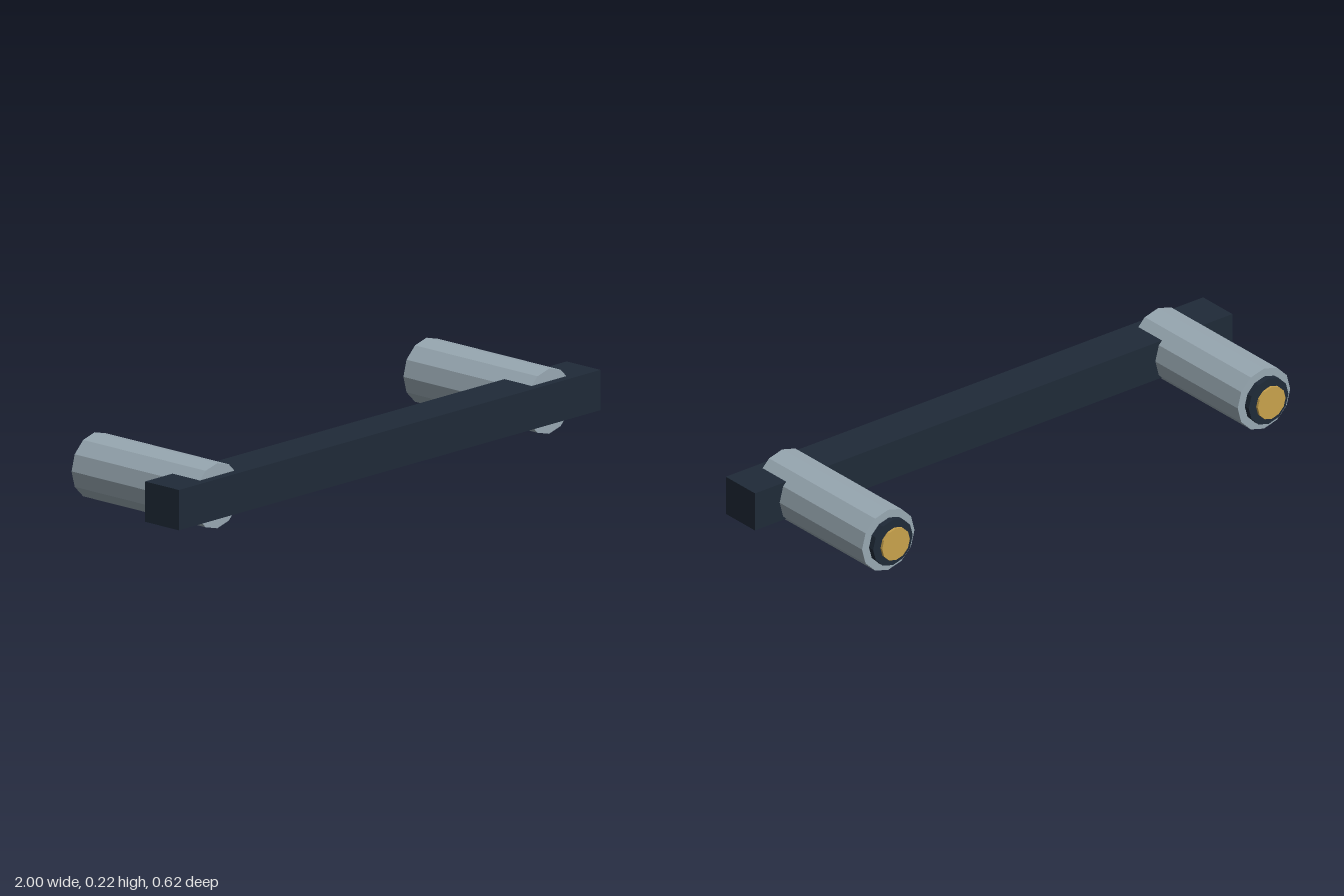
import * as THREE from 'three';

export function createModel() {
  const model = new THREE.Group();
  const material = (name, color) => {
    const m = new THREE.MeshStandardMaterial({ color, flatShading: true });
    m.name = name;
    return m;
  };
  const navy = material('dark navy', 0x1f2a38);
  const steel = material('grey steel', 0x98a8b2);
  const brass = material('brass', 0xc8a24c);

  const axisY = 0.11;

  // Twelve-sided disc or post lying along z, from zBack to zFront
  const rod = (name, radius, zBack, zFront, mat) => {
    const geometry = new THREE.CylinderGeometry(radius, radius, zFront - zBack, 12);
    geometry.rotateX(Math.PI / 2);
    const mesh = new THREE.Mesh(geometry, mat);
    mesh.name = name;
    mesh.position.set(0, axisY, (zBack + zFront) / 2);
    return mesh;
  };

  // Grip bar across the front
  const bar = new THREE.Mesh(new THREE.BoxGeometry(2, 0.136, 0.151), navy);
  bar.name = 'gripBar';
  bar.position.set(0, axisY, 0.2325);
  model.add(bar);

  // Mounting post with its washer and brass contact, one at each end
  for (const [side, x] of [['left', 0.787], ['right', -0.787]]) {
    const mount = new THREE.Group();
    mount.name = side + 'Mount';
    mount.position.x = x;
    mount.add(
      rod('post', 0.11, -0.268, 0.279, steel),
      rod('washer', 0.083, -0.292, -0.271, navy),
      rod('contactDisc', 0.058, -0.308, -0.299, brass)
    );
    model.add(mount);
  }

  return model;
}
